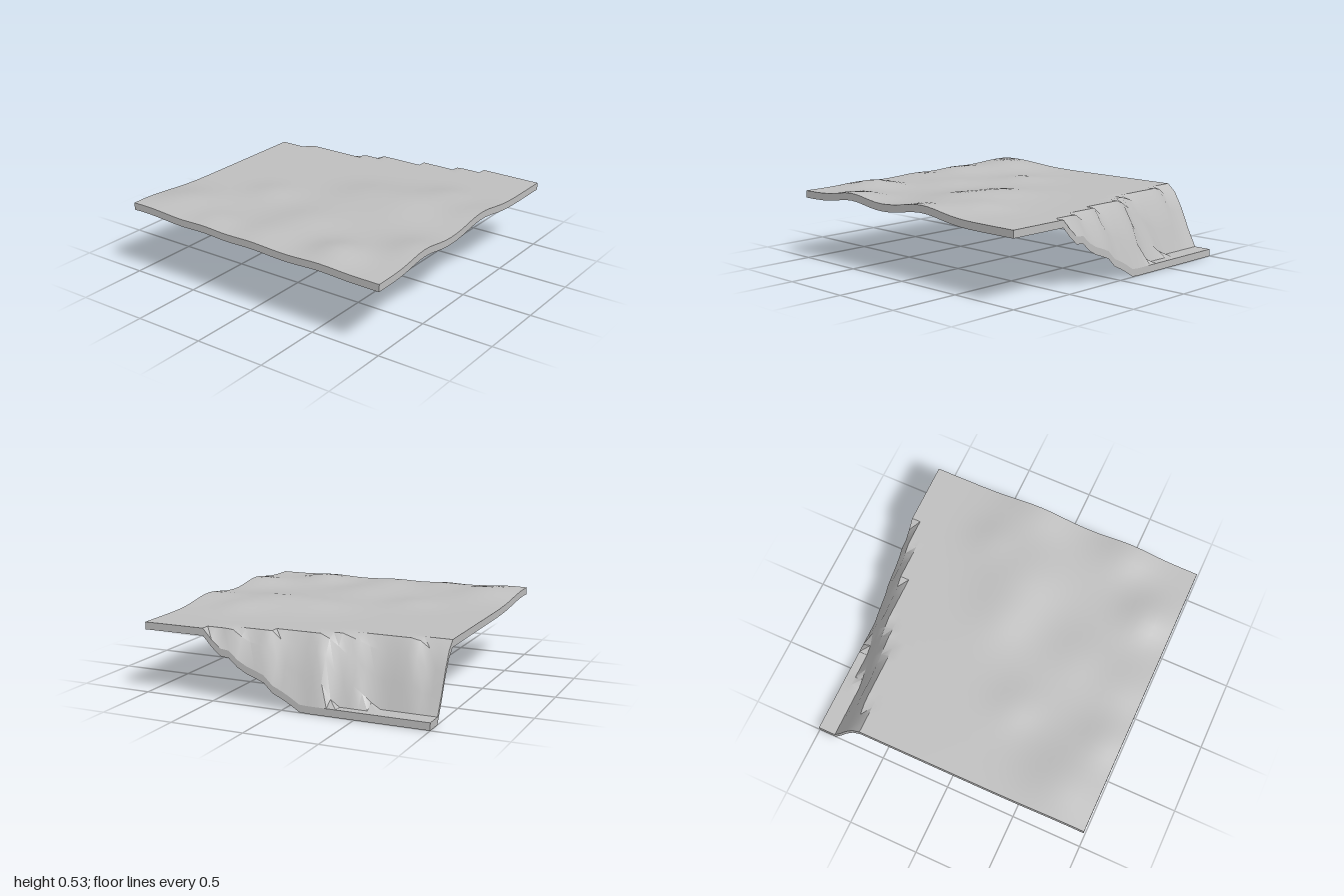
import * as THREE from 'three';
import { toCreasedNormals } from 'three/addons/utils/BufferGeometryUtils.js';

const N = 32;          // grid cells per side
const SKIRT = 0.05;    // depth of the rim
const PLATEAU = 0.488, FLOOR = 0.06;

// Cliff crest and foot: [z, x], the crest stepping along the grid
const CREST = [[-1, 0.625], [-0.87, 0.625], [-0.8, 0.6875], [-0.49, 0.6875], [-0.3, 0.76], [-0.2, 0.8125],
  [0.05, 0.8125], [0.11, 0.875], [0.27, 0.875], [0.38, 0.9375], [0.46, 0.9375], [0.56, 1]];
const FOOT = [[-1, 0.875], [-0.6, 0.875], [-0.45, 0.9375], [-0.33, 0.9375], [-0.27, 1], [-0.13, 1],
  [0, 1.035], [0.25, 1.087], [0.56, 1.1]];
// Fraction of the drop across the cliff
const DROP = [[0, 0], [0.25, 0.13], [0.5, 0.39], [0.75, 0.72], [1, 1]];
// Gentle mounds: x, z, height, radius
const MOUNDS = [[-0.75, -0.75, 0.048, 0.25], [-1, -1, 0.025, 0.25], [-0.88, -0.38, 0.03, 0.17],
  [-0.85, 0, 0.025, 0.2], [-0.5, 0.1, 0.025, 0.22], [-0.25, -0.4, 0.022, 0.17], [0.1, 0.15, 0.025, 0.22],
  [0.1, 0.5, 0.045, 0.28], [-0.5, 0.95, 0.042, 0.2], [0.2, 1, 0.045, 0.24], [-0.8, 0.55, 0.045, 0.17],
  [0.4, 0.65, 0.025, 0.16]];

function lookup(table, v) {
  if (v <= table[0][0]) return table[0][1];
  for (let i = 1; i < table.length; i++) {
    const [a, p] = table[i - 1], [b, q] = table[i];
    if (v <= b) return p + (q - p) * (v - a) / (b - a);
  }
  return table[table.length - 1][1];
}

function height(x, z) {
  let y = PLATEAU;
  for (const [mx, mz, h, r] of MOUNDS) y += h * Math.exp(-((x - mx) ** 2 + (z - mz) ** 2) / (r * r));
  if (z < 0.56) {
    const crest = lookup(CREST, z), foot = lookup(FOOT, z);
    y += (FLOOR - y) * lookup(DROP, (x - crest) / (foot - crest));
  }
  return y;
}

// Ground surface, lifted by the height rule
function groundGeometry() {
  const g = new THREE.PlaneGeometry(2, 2, N, N).rotateX(-Math.PI / 2);
  const p = g.attributes.position;
  for (let i = 0; i < p.count; i++) p.setY(i, height(p.getX(i), p.getZ(i)));
  return toCreasedNormals(g, 0.6);
}

// Rim hanging from the four edges, open underneath
function skirtGeometry() {
  const corners = [[-1, 1], [1, 1], [1, -1], [-1, -1]];
  const pos = [], index = [];
  corners.forEach(([ax, az], c) => {
    const [bx, bz] = corners[(c + 1) % 4];
    for (let i = 0; i <= N; i++) {
      const x = ax + (bx - ax) * i / N, z = az + (bz - az) * i / N, y = height(x, z);
      const k = pos.length / 3;
      pos.push(x, y, z, x, y - SKIRT, z);
      if (i < N) index.push(k + 1, k + 3, k + 2, k + 1, k + 2, k);
    }
  });
  const g = new THREE.BufferGeometry();
  g.setAttribute('position', new THREE.Float32BufferAttribute(pos, 3));
  g.setIndex(index);
  g.computeVertexNormals();
  return g;
}

export function createModel() {
  const group = new THREE.Group();
  group.name = 'terrainTile';
  const stone = new THREE.MeshStandardMaterial({ color: 0xbfbfbf, side: THREE.DoubleSide });
  stone.name = 'grey stone';
  const add = (name, geometry) => {
    const mesh = new THREE.Mesh(geometry, stone);
    mesh.name = name;
    group.add(mesh);
  };
  add('ground', groundGeometry());
  add('skirt', skirtGeometry());
  return group;
}
